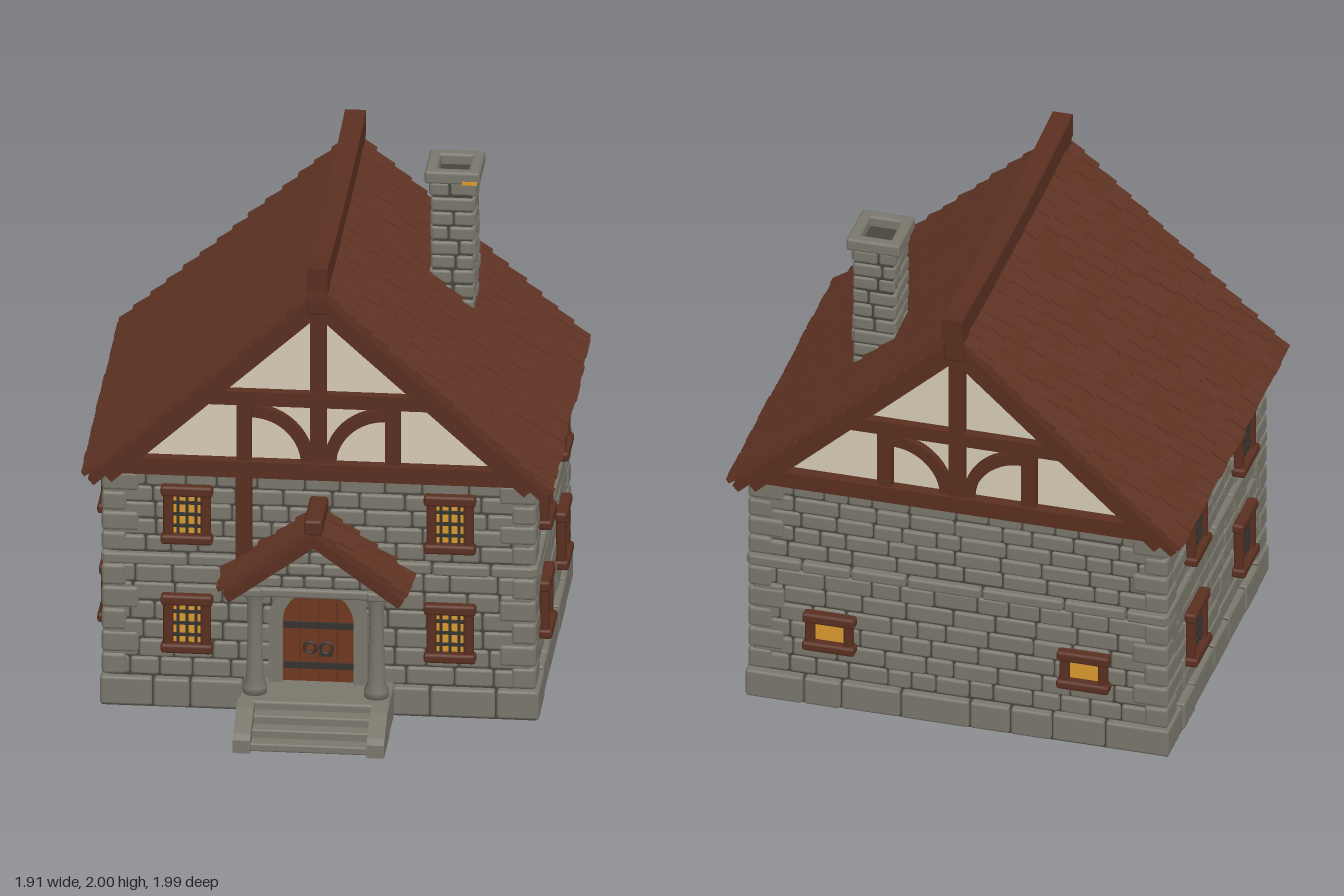
import * as THREE from 'three';
import { mergeGeometries } from 'three/addons/utils/BufferGeometryUtils.js';
import { RoundedBoxGeometry } from 'three/addons/geometries/RoundedBoxGeometry.js';

const material = (name, color) => Object.assign(new THREE.MeshStandardMaterial({ color }), { name });

export function createModel() {
  const stone = material('stone', 0x79766b), mortar = material('mortar', 0x47443d);
  const tile = material('roof tile', 0x5f3323), timber = material('timber', 0x5a2f20);
  const plaster = material('plaster', 0xd6cab4), doorWood = material('door wood', 0x6f3820);
  const iron = material('iron', 0x34322f), glow = material('window glow', 0xd9992f);

  let seed = 7;
  const rand = () => (seed = (seed * 16807) % 2147483647) / 2147483647;

  const house = new THREE.Group();
  house.name = 'house';
  const group = (name, parent = house) => {
    const g = new THREE.Group();
    g.name = name;
    parent.add(g);
    return g;
  };
  const mesh = (name, geo, mat, parent = house) => {
    const m = new THREE.Mesh(Array.isArray(geo) ? mergeGeometries(geo) : geo, mat);
    m.name = name;
    parent.add(m);
    return m;
  };
  const box = (w, h, d, x, y, z) => new THREE.BoxGeometry(w, h, d).toNonIndexed().translate(x, y, z);
  const block = (w, h, d, x, y, z, r = 0.012) =>
    new RoundedBoxGeometry(w, h, d, 1, Math.min(r, w / 3, h / 3, d / 3)).translate(x, y, z);
  // box between two limits on each axis
  const span = (x0, x1, y0, y1, z0, z1) =>
    box(x1 - x0, y1 - y0, z1 - z0, (x0 + x1) / 2, (y0 + y1) / 2, (z0 + z1) / 2);
  // straight timber between two points of a wall
  const beam = (x0, y0, x1, y1, w, d, z) =>
    box(Math.hypot(x1 - x0, y1 - y0), w, d, 0, 0, 0)
      .rotateZ(Math.atan2(y1 - y0, x1 - x0)).translate((x0 + x1) / 2, (y0 + y1) / 2, z);
  const extrude = (shape, depth, z) =>
    new THREE.ExtrudeGeometry(shape, { depth, bevelEnabled: false, curveSegments: 12 }).translate(0, 0, z);
  const polygon = (...pts) => new THREE.Shape(pts.map(p => new THREE.Vector2(...p)));

  // courses of irregular blocks, outer surface at z = 0; halfAt(y) gives the half width
  const courses = (halfAt, y0, y1, rows, avg, depth = 0.035) => {
    const out = [], h = (y1 - y0) / rows;
    for (let i = 0; i < rows; i++) {
      const y = y0 + (i + 0.5) * h, half = halfAt(y);
      for (let u = -half; u < half - 0.001;) {
        let len = avg * (0.65 + 0.7 * rand());
        if (half - u - len < avg * 0.5) len = half - u;
        out.push(block(len - 0.006, h - 0.006, depth, u + len / 2, y + (rand() - 0.5) * 0.004,
          -depth / 2 + (rand() - 0.5) * 0.009));
        u += len;
      }
    }
    return out;
  };

  // Body cores
  mesh('wallCore', span(-0.85, 0.85, 0.1, 1.03, -0.885, 0.535), mortar);
  mesh('plinthCore', span(-0.875, 0.875, 0, 0.12, -0.9, 0.555), mortar);
  mesh('gableWalls', extrude(polygon([-0.86, 1.02], [0.86, 1.02], [0, 1.81]), 1.435, -0.89), plaster);

  // Window with frame, pane and iron lattice
  const addWindow = (parent, x, y, w, h, pane, bars = true) => {
    const g = group('window', parent);
    g.position.set(x, y, 0);
    mesh('windowPane', box(w - 0.05, h - 0.05, 0.008, 0, 0, 0.008), pane, g);
    const frame = [block(w + 0.02, 0.045, 0.05, 0, h / 2 - 0.022, 0.02), block(w + 0.02, 0.04, 0.06, 0, -h / 2 + 0.02, 0.022)];
    for (const s of [-1, 1]) frame.push(block(0.04, h - 0.04, 0.04, s * (w / 2 - 0.02), 0, 0.018));
    mesh('windowFrame', frame, timber, g);
    if (!bars) return;
    const lattice = [];
    for (const i of [-1, 0, 1]) {
      lattice.push(box(0.011, h - 0.07, 0.012, i * w * 0.19, 0, 0.018));
      lattice.push(box(w - 0.07, 0.011, 0.012, 0, i * h * 0.2, 0.021));
    }
    mesh('windowBars', lattice, iron, g);
  };

  // Four walls, each in its own outward-facing frame
  const walls = [
    ['frontWall', 0, 0, 0.55, 0.86], ['backWall', Math.PI, 0, -0.9, 0.86],
    ['leftWall', Math.PI / 2, 0.865, -0.175, 0.72], ['rightWall', -Math.PI / 2, -0.865, -0.175, 0.72],
  ].map(([name, turn, x, z, half], i) => {
    const g = group(name);
    g.position.set(x, 0, z);
    g.rotation.y = turn;
    mesh('wallStones', [...courses(() => half, 0.13, 0.615, 6, 0.15), ...courses(() => half, 0.67, 1.03, 5, 0.15)], stone, g);
    mesh('stringCourse', courses(() => half + 0.015, 0.615, 0.67, 1, 0.3, 0.05).map(s => s.translate(0, 0, 0.016)), stone, g);
    mesh('plinthStones', courses(() => half + 0.025, 0.002, 0.13, 1, 0.22, 0.06).map(s => s.translate(0, 0, 0.02)), stone, g);
    for (const s of [-1, 1]) for (const y of [0.85, 0.375]) {
      if (i === 0) addWindow(g, s * 0.53, y, 0.19, 0.25, glow);
      if (i > 1) {
        const dark = i === 3 || (s > 0 && y > 0.5);
        addWindow(g, (i === 2 ? 1 : -1) * (s * 0.35 - 0.025), y, 0.21, 0.25, dark ? iron : glow);
      }
    }
    if (i === 1) for (const s of [-1, 1]) addWindow(g, s * 0.53, 0.36, 0.2, 0.17, glow, false);
    return g;
  });
  mesh('glowingStones', [[0.02, 0.9, 0.09, 0.03], [-0.03, 0.825, 0.055, 0.03], [-0.1, 0.785, 0.11, 0.035]]
    .map(([x, y, w, h]) => block(w, h, 0.009, x, y, 0.005)), glow, walls[2]);

  // Corner quoins
  const quoins = [];
  for (const sx of [-1, 1]) for (const z of [-0.9, 0.55]) for (const [y0, y1, n] of [[0.13, 0.615, 5], [0.67, 1.02, 4]])
    for (let i = 0; i < n; i++) {
      const h = (y1 - y0) / n, long = i % 2, w = long ? 0.15 : 0.1, d = long ? 0.1 : 0.15;
      quoins.push(block(w, h - 0.006, d, sx * (0.876 - w / 2), y0 + (i + 0.5) * h,
        z + Math.sign(z) * (0.009 - d / 2), 0.015));
    }
  mesh('cornerStones', quoins, stone);

  // Gable timber framing, front and back
  for (const [name, z, turn] of [['frontGable', 0.545, 0], ['backGable', -0.89, Math.PI]]) {
    const g = group(name);
    g.position.z = z;
    g.rotation.y = turn;
    const t = [beam(-0.87, 1.063, 0.87, 1.063, 0.07, 0.06, 0.02), beam(-0.48, 1.37, 0.48, 1.37, 0.06, 0.05, 0.015),
      beam(0, 1.07, 0, 1.8, 0.065, 0.05, 0.012), block(0.085, 0.12, 0.09, 0, 1.82, 0.035)];
    for (const s of [-1, 1]) {
      t.push(beam(s * 0.3, 1.09, s * 0.3, 1.35, 0.06, 0.05, 0.013), beam(0, 1.785, s * 0.85, 1.012, 0.055, 0.06, 0.03));
      const arc = new THREE.Shape();
      const [a, b] = s > 0 ? [Math.PI / 2, Math.PI] : [0, Math.PI / 2];
      arc.absarc(s * 0.27, 1.085, 0.25, a, b, false);
      arc.absarc(s * 0.27, 1.085, 0.2, b, a, true);
      t.push(extrude(arc, 0.03, 0));
    }
    mesh('gableTimbers', t, timber, g);
  }
  mesh('frontPost', span(-0.333, -0.268, 0.62, 1.05, 0.53, 0.585), timber);

  // Pitched roof: deck plus staggered overlapping tiles on both slopes
  const addRoof = (name, half, ridgeY, slope, z0, z1, rows, cols) => {
    const g = group(name), a = Math.atan(slope), L = half / Math.cos(a), p = L / rows, w = (z1 - z0) / cols;
    for (const s of [1, -1]) {
      const side = group('roofSlope', g);
      side.position.set(0, ridgeY, (z0 + z1) / 2);
      side.rotation.set(0, s > 0 ? 0 : Math.PI, -a);
      mesh('roofDeck', box(L, 0.035, z1 - z0 - 0.02, L / 2, -0.0175, 0), timber, side);
      const tiles = [];
      for (let i = 0; i < rows; i++) for (let j = 0; j <= cols; j++) {
        const lo = Math.max(0, j - (i % 2) * 0.5) * w, hi = Math.min(cols, j + 1 - (i % 2) * 0.5) * w;
        if (hi - lo < 0.01) continue;
        tiles.push(box(p * 1.2, 0.022, hi - lo - 0.006, 0, 0, 0).rotateZ(0.13 + rand() * 0.04)
          .translate((i + 0.45) * p + (rand() - 0.5) * 0.014, 0.019 + rand() * 0.004, (lo + hi) / 2 - (z1 - z0) / 2));
      }
      mesh('roofTiles', tiles, tile, side);
    }
  };
  addRoof('mainRoof', 0.925, 1.85, 0.91, -0.965, 0.63, 14, 18);
  addRoof('porchRoof', 0.365, 0.865, 0.73, 0.54, 0.795, 5, 3);

  // Ridge beams; the long one sags a little in the middle
  const ridge = new THREE.BoxGeometry(0.085, 0.1, 1.63, 1, 1, 12).translate(0, 1.92, -0.175);
  const pos = ridge.attributes.position;
  for (let i = 0; i < pos.count; i++)
    pos.setY(i, pos.getY(i) - 0.025 * (1 - ((pos.getZ(i) + 0.175) / 0.815) ** 2));
  ridge.computeVertexNormals();
  mesh('mainRidge', ridge, timber);
  mesh('porchRidge', block(0.075, 0.065, 0.27, 0, 0.907, 0.67), timber);

  // Chimney
  const chimney = group('chimney');
  chimney.position.set(0.453, 0, -0.44);
  mesh('chimneyCore', span(-0.08, 0.08, 1.25, 1.955, -0.1, 0.1), mortar, chimney);
  for (let i = 0; i < 4; i++) {
    const face = group('chimneyFace', chimney), across = i % 2;
    face.rotation.y = i * Math.PI / 2;
    mesh('chimneyStones', courses(() => across ? 0.108 : 0.09, 1.38, 1.95, 9, 0.1)
      .map(s => s.translate(0, 0, across ? 0.092 : 0.11)), stone, face);
  }
  const cap = [];
  for (const s of [-1, 1]) cap.push(block(0.22, 0.055, 0.05, 0, 1.972, s * 0.095), block(0.05, 0.055, 0.24, s * 0.087, 1.972, 0));
  mesh('chimneyCap', cap, stone, chimney);
  mesh('chimneyGlow', box(0.06, 0.015, 0.006, 0.07, 1.955, 0.121), glow, chimney);

  // Porch: floor, steps and sloping cheek walls
  mesh('porchFloor', [block(0.61, 0.14, 0.27, 0, 0.07, 0.655)], stone);
  const steps = [];
  for (let i = 0; i < 3; i++) steps.push(block(0.48, 0.105 - i * 0.035, 0.09, 0, 0.0525 - i * 0.0175, 0.81 + i * 0.062, 0.008));
  mesh('steps', steps, stone);
  const cheek = polygon([0.76, 0], [1, 0], [1, 0.055], [0.975, 0.075], [0.85, 0.135], [0.76, 0.14]);
  mesh('stepWalls', [-1, 1].map(s => extrude(cheek, 0.07, -0.035).rotateY(-Math.PI / 2).translate(s * 0.27, 0, 0)), stone);

  // Columns, lintel and stone pediment
  const profile = [[0, 0.135], [0.05, 0.135], [0.05, 0.17], [0.036, 0.2], [0.03, 0.4], [0.032, 0.54], [0.046, 0.56], [0.046, 0.6], [0, 0.6]]
    .map(p => new THREE.Vector2(...p));
  for (const s of [-1, 1]) {
    const column = mesh('column', new THREE.LatheGeometry(profile, 14), stone);
    column.position.set(s * 0.245, 0, 0.69);
    mesh('porchSideBeam', block(0.08, 0.04, 0.22, s * 0.25, 0.595, 0.65), stone);
  }
  mesh('pedimentCore', extrude(polygon([-0.31, 0.605], [0.31, 0.605], [0, 0.83]), 0.19, 0.54), mortar);
  mesh('porchLintel', block(0.62, 0.04, 0.08, 0, 0.595, 0.71), stone);
  mesh('pedimentStones', courses(y => Math.max(0.04, (0.85 - y) / 0.76), 0.615, 0.83, 4, 0.11)
    .map(s => s.translate(0, 0, 0.745)), stone);
  mesh('porchRafters', [-1, 1].map(s => beam(0, 0.83, s * 0.35, 0.575, 0.03, 0.04, 0.765)), timber);

  // Arched door with stone surround and ironwork
  const archShape = (r, foot, spring) => {
    const s = new THREE.Shape();
    s.moveTo(-r, foot);
    s.lineTo(r, foot);
    s.absarc(0, spring, r, 0, Math.PI, false);
    return s;
  };
  const surround = archShape(0.2, 0.13, 0.4);
  surround.holes.push(archShape(0.143, 0.131, 0.405));
  mesh('doorSurround', extrude(surround, 0.05, 0.54), stone);
  mesh('door', extrude(archShape(0.146, 0.14, 0.405), 0.025, 0.54), doorWood);
  const gaps = [-0.075, 0, 0.075].map(x => box(0.005, 0.37, 0.004, x, 0.33, 0.566));
  mesh('doorGaps', gaps, timber);
  mesh('doorStraps', [0.21, 0.385].map(y => box(0.28, 0.026, 0.012, 0, y, 0.568)), iron);
  for (const s of [-1, 1]) {
    const ring = mesh('doorRing', new THREE.TorusGeometry(0.024, 0.006, 6, 16), iron);
    ring.position.set(s * 0.033, 0.29, 0.574);
  }
  mesh('doorLock', box(0.05, 0.02, 0.012, 0.03, 0.262, 0.568), iron);
  return house;
}
